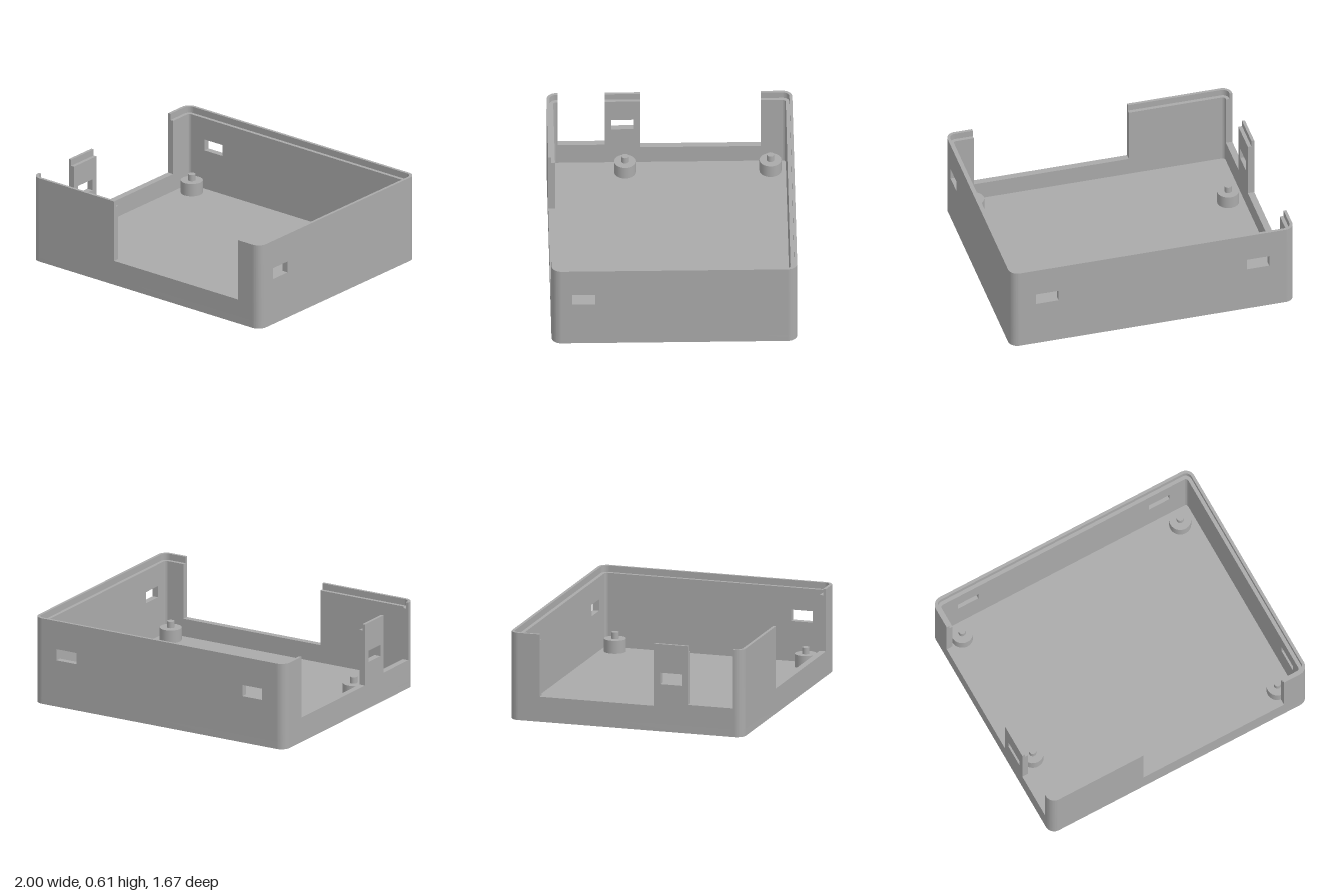
import * as THREE from 'three';
import { toCreasedNormals } from 'three/addons/utils/BufferGeometryUtils.js';

const HX = 1, HZ = 0.835;          // half width and half depth
const R = 0.065;                   // outer corner radius
const FLOOR = 0.05;                // floor thickness
const SLOT_LOW = 0.33, SLOT_HIGH = 0.41;
// Wall layers: the outer lip stands taller than the inner ledge
const LAYERS = [
  { name: 'Lip', from: 0, to: 0.02, top: 0.61 },
  { name: 'Ledge', from: 0.02, to: 0.045, top: 0.565 },
];

export function createModel() {
  const model = new THREE.Group();
  model.name = 'enclosureBase';
  const grey = new THREE.MeshStandardMaterial({ color: 0xaaaaaa });
  grey.name = 'grey plastic';

  function add(parent, name, geometry, x = 0, y = 0, z = 0) {
    const mesh = new THREE.Mesh(geometry, grey);
    mesh.name = name;
    mesh.position.set(x, y, z);
    parent.add(mesh);
  }

  const extrude = (shape, depth) => toCreasedNormals(
    new THREE.ExtrudeGeometry(shape, { depth, bevelEnabled: false, curveSegments: 10 }), 0.6);

  // Floor plate with rounded corners
  const cx = HX - R, cz = HZ - R;
  const centres = [[cx, cz], [-cx, cz], [-cx, -cz], [cx, -cz]];
  const plate = new THREE.Shape();
  centres.forEach(([x, y], i) =>
    plate.absarc(x, y, R, i * Math.PI / 2, (i + 1) * Math.PI / 2, false));
  plate.closePath();
  add(model, 'floor', extrude(plate, FLOOR).rotateX(-Math.PI / 2));

  // Curved corners, one quarter ring per layer
  centres.forEach(([x, y], i) => {
    const a = i * Math.PI / 2, b = a + Math.PI / 2;
    for (const layer of LAYERS) {
      const ring = new THREE.Shape();
      ring.absarc(x, y, R - layer.from, a, b, false);
      ring.absarc(x, y, R - layer.to, b, a, true);
      ring.closePath();
      add(model, 'corner' + layer.name,
        extrude(ring, layer.top - FLOOR).rotateX(-Math.PI / 2), 0, FLOOR, 0);
    }
  });

  // Straight wall: notches [start, end, sill] cut from the top, slots [start, end] cut through
  function wall(name, half, distance, angle, notches, slots) {
    const group = new THREE.Group();
    group.name = name;
    group.rotation.y = angle;
    group.position.set(Math.sin(angle) * distance, 0, Math.cos(angle) * distance);
    for (const layer of LAYERS) {
      const face = new THREE.Shape();
      face.moveTo(half, FLOOR);
      face.lineTo(half, layer.top);
      for (const [start, end, sill] of [...notches].reverse()) {
        face.lineTo(end, layer.top);
        face.lineTo(end, sill);
        face.lineTo(start, sill);
        face.lineTo(start, layer.top);
      }
      face.lineTo(-half, layer.top);
      face.lineTo(-half, FLOOR);
      face.closePath();
      for (const [start, end] of slots) {
        const hole = new THREE.Path();
        hole.moveTo(start, SLOT_LOW);
        hole.lineTo(start, SLOT_HIGH);
        hole.lineTo(end, SLOT_HIGH);
        hole.lineTo(end, SLOT_LOW);
        hole.closePath();
        face.holes.push(hole);
      }
      add(group, name + layer.name, extrude(face, layer.to - layer.from), 0, 0, -layer.to);
    }
    model.add(group);
  }

  wall('frontWall', cx, HZ, 0, [[-0.28, 0.81, 0.175]], []);
  wall('backWall', cx, HZ, Math.PI, [], [[-0.82, -0.662], [0.662, 0.82]]);
  wall('leftWall', cz, HX, Math.PI / 2, [], [[-0.695, -0.54]]);
  wall('rightWall', cz, HX, -Math.PI / 2,
    [[-0.62, 0.2, 0.175], [0.44, 0.76, 0.2]], [[0.243, 0.398]]);

  // Board standoffs with locating pins
  for (const [x, z] of [[-0.845, -0.685], [0.845, -0.685], [-0.845, 0.305], [0.845, 0.68]]) {
    add(model, 'standoff', new THREE.CylinderGeometry(0.075, 0.075, 0.09, 32), x, FLOOR + 0.045, z);
    add(model, 'locatingPin', new THREE.CylinderGeometry(0.025, 0.025, 0.045, 24), x, FLOOR + 0.1125, z);
  }

  return model;
}
